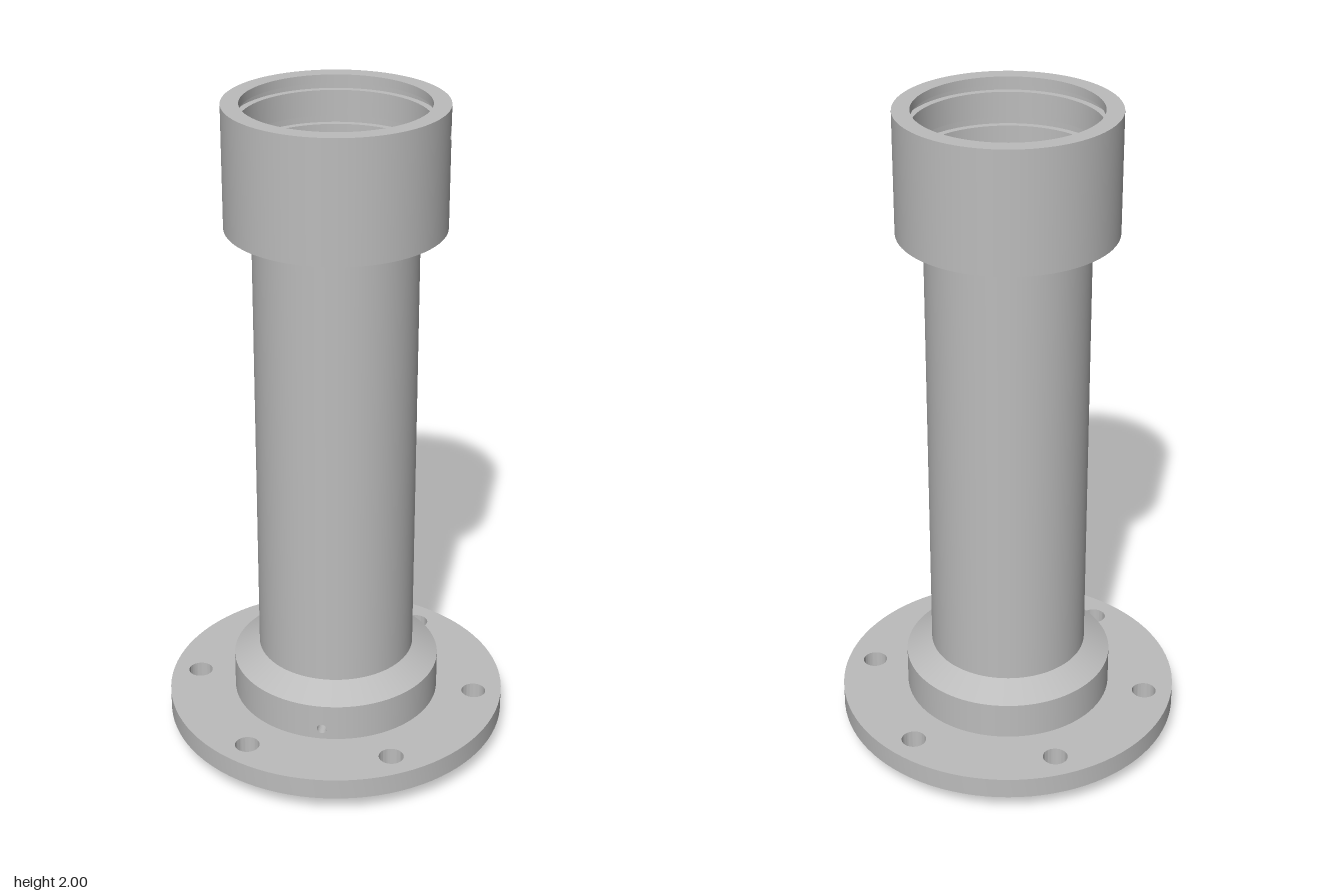
import * as THREE from 'three';
import { mergeGeometries, toCreasedNormals } from 'three/addons/utils/BufferGeometryUtils.js';

const SEG = 96;
const WINDOW = (2 * Math.PI / SEG) * 2; // half angle of the patch around a pin hole
const OUTER = 0.315, BORE = 0.265, STEP = 0.24, TUBE = 0.237, INNER = 0.207, GROOVE = 0.285;

// Turned walls with sharp edges: each profile segment is its own lathe
function turned(profile, start = 0, length = Math.PI * 2, seg = SEG) {
  const parts = [];
  for (let i = 0; i + 1 < profile.length; i++) {
    const pair = [profile[i], profile[i + 1]].map(([r, y]) => new THREE.Vector2(r, y));
    parts.push(new THREE.LatheGeometry(pair, seg, start, length));
  }
  return mergeGeometries(parts);
}

// Bore profile running downwards from y1 to y0, with grooves listed top first as [top, bottom]
function groovedBore(y1, y0, grooves) {
  const pts = [[BORE, y1]];
  for (const [top, bottom] of grooves) {
    pts.push([BORE, top], [GROOVE, top], [GROOVE, bottom], [BORE, bottom]);
  }
  pts.push([BORE, y0]);
  return pts;
}

// Ring of wall from y0 to y1 with one drilled pin hole facing the given angle
function drilledBand(y0, y1, angle) {
  const start = angle + WINDOW, length = Math.PI * 2 - 2 * WINDOW;
  const ring = mergeGeometries([
    turned([[OUTER, y0], [OUTER, y1]], start, length, SEG - 4),
    turned([[BORE, y1], [BORE, y0]], start, length, SEG - 4),
  ]).toNonIndexed();

  // flat plate with a hole, bent to the wall's curve
  const plate = new THREE.Shape();
  const w = WINDOW * OUTER;
  const steps = [-1, -0.5, 0, 0.5, 1];
  plate.setFromPoints([
    ...steps.map(s => new THREE.Vector2(s * w, y0)),
    ...steps.map(s => new THREE.Vector2(-s * w, y1)),
  ]);
  const hole = new THREE.Path();
  hole.absarc(0, (y0 + y1) / 2, 0.015, 0, Math.PI * 2, true);
  plate.holes.push(hole);
  const patch = new THREE.ExtrudeGeometry(plate, { depth: OUTER - BORE, bevelEnabled: false, curveSegments: 12 });
  const pos = patch.attributes.position, nor = patch.attributes.normal;
  const axis = new THREE.Vector3(0, 1, 0), n = new THREE.Vector3();
  for (let i = 0; i < pos.count; i++) {
    const a = angle + pos.getX(i) / OUTER, r = BORE + pos.getZ(i);
    n.fromBufferAttribute(nor, i).applyAxisAngle(axis, a);
    pos.setXYZ(i, r * Math.sin(a), pos.getY(i), r * Math.cos(a));
    nor.setXYZ(i, n.x, n.y, n.z);
  }
  patch.clearGroups();
  return mergeGeometries([ring, patch]);
}

export function createModel() {
  const model = new THREE.Group();
  const grey = new THREE.MeshStandardMaterial({ color: 0xbcbcbc });
  grey.name = 'plain grey';
  const add = (name, geometry, parent = model) => {
    const mesh = new THREE.Mesh(geometry, grey);
    mesh.name = name;
    parent.add(mesh);
  };

  // Base collar with grooved socket and front pin hole
  const base = new THREE.Group();
  base.name = 'baseCollar';
  model.add(base);
  add('baseLowerWall', turned([
    ...groovedBore(0.135, 0, [[0.115, 0.09], [0.055, 0.03]]),
    [OUTER, 0], [OUTER, 0.135],
  ]), base);
  add('basePinBand', drilledBand(0.135, 0.185, 0), base);
  add('baseShoulder', turned([[OUTER, 0.185], [OUTER, 0.24], [TUBE, 0.285]]), base);
  add('baseSocketStep', turned([[INNER, 0.25], [STEP, 0.25], [STEP, 0.205], [BORE, 0.205], [BORE, 0.185]]), base);

  // Bolt flange
  const disc = new THREE.Shape();
  disc.absarc(0, 0, 0.518, 0, Math.PI * 2, false);
  const addHole = (x, y, r) => {
    const path = new THREE.Path();
    path.absarc(x, y, r, 0, Math.PI * 2, true);
    disc.holes.push(path);
  };
  addHole(0, 0, 0.312);
  for (let i = 0; i < 6; i++) {
    const a = i * Math.PI / 3;
    addHole(0.433 * Math.cos(a), 0.433 * Math.sin(a), 0.037);
  }
  const flange = new THREE.ExtrudeGeometry(disc, { depth: 0.065, bevelEnabled: false, curveSegments: 48 });
  flange.rotateX(-Math.PI / 2).translate(0, 0.06, 0);
  add('boltFlange', toCreasedNormals(flange, 0.5));

  // Long tube
  add('tubeOutside', turned([[TUBE, 0.285], [TUBE, 1.625]]));
  add('tubeBore', turned([[INNER, 1.665], [INNER, 0.25]]));

  // Head with grooved socket and side pin hole
  const head = new THREE.Group();
  head.name = 'head';
  model.add(head);
  add('headLowerWall', turned([[TUBE, 1.625], [OUTER, 1.645], [OUTER, 1.895]]), head);
  add('headPinBand', drilledBand(1.895, 1.945, Math.PI / 2), head);
  add('headRim', turned([
    [OUTER, 1.945], [OUTER, 2],
    ...groovedBore(2, 1.945, [[1.975, 1.955]]),
  ]), head);
  add('headSocket', turned([
    ...groovedBore(1.895, 1.70, [[1.88, 1.855], [1.81, 1.785]]),
    [STEP, 1.70], [STEP, 1.665], [INNER, 1.665],
  ]), head);

  return model;
}
